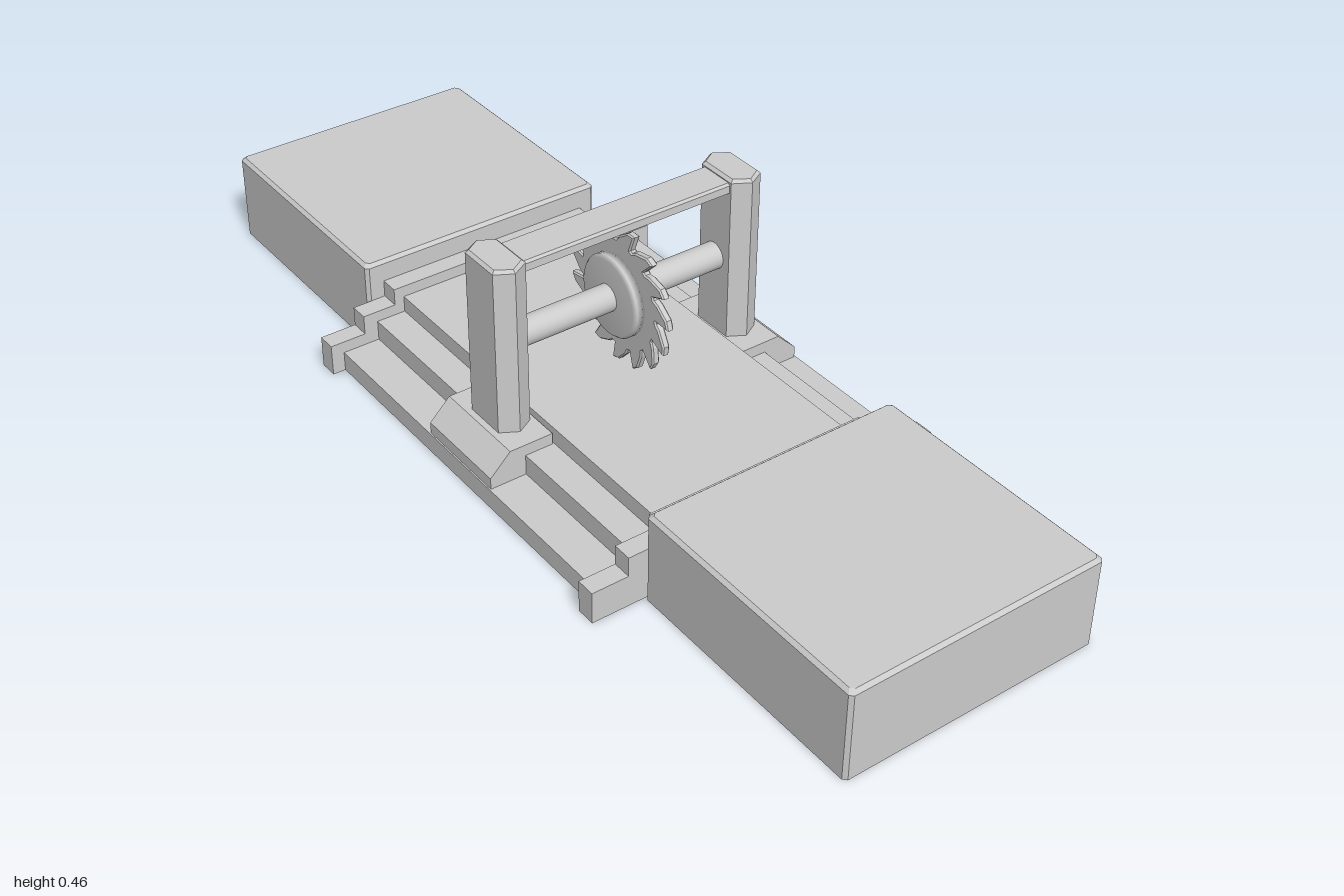
import * as THREE from 'three';

const mat = new THREE.MeshStandardMaterial({ color: 0xcccccc, flatShading: true, side: THREE.DoubleSide });
const smooth = new THREE.MeshStandardMaterial({ color: 0xcccccc });

function mesh(name, geo, parent, x = 0, y = 0, z = 0, material = mat) {
  const m = new THREE.Mesh(geo, material);
  m.name = name;
  m.position.set(x, y, z);
  parent.add(m);
  return m;
}

function fromTriangles(pos) {
  const g = new THREE.BufferGeometry();
  g.setAttribute('position', new THREE.Float32BufferAttribute(pos, 3));
  g.computeVertexNormals();
  return g;
}

// Upright prism with an open base and a bevelled, capped top; outline is [x, z] points
function hollowPrism(outline, halfX, halfZ, height, bevel) {
  const levels = [[0, 0], [height - bevel, 0], [height, bevel]];
  const rings = levels.map(([y, inset]) =>
    outline.map(([x, z]) => [x * (1 - inset / halfX), y, z * (1 - inset / halfZ)]));
  const pos = [], n = outline.length;
  for (let i = 0; i < n; i++) {
    const j = (i + 1) % n;
    for (let k = 0; k < 2; k++) {
      const a = rings[k][i], b = rings[k][j], c = rings[k + 1][j], d = rings[k + 1][i];
      pos.push(...a, ...c, ...b, ...a, ...d, ...c);
    }
    pos.push(0, height, 0, ...rings[2][j], ...rings[2][i]);
  }
  return fromTriangles(pos);
}

// Solid of constant [z, y] profile, running along x and centred on it
function barAlongX(profile, width) {
  const shape = new THREE.Shape(profile.map(([z, y]) => new THREE.Vector2(z, y)));
  return new THREE.ExtrudeGeometry(shape, { depth: width, bevelEnabled: false })
    .translate(0, 0, -width / 2).rotateY(-Math.PI / 2);
}

// Thin sheet following a [z, y] profile from +z to -z
function sheetAlongX(profile, halfWidth) {
  const pos = [], h = halfWidth;
  for (let i = 0; i < profile.length - 1; i++) {
    const [z0, y0] = profile[i], [z1, y1] = profile[i + 1];
    pos.push(-h, y0, z0, h, y0, z0, h, y1, z1, -h, y0, z0, h, y1, z1, -h, y1, z1);
  }
  return fromTriangles(pos);
}

const mirrorZ = half => [...half, ...half.map(([z, y]) => [-z, y]).reverse()];

// Circular blade with hooked teeth, lying in the xy plane
function bladeGeometry(teeth, tip, root) {
  const pts = [], step = Math.PI * 2 / teeth;
  const at = (r, a) => pts.push(new THREE.Vector2(r * Math.cos(a), r * Math.sin(a)));
  for (let i = 0; i < teeth; i++) {
    const a = i * step;
    at(root, a);
    at(tip, a - step * 0.02);
    at(tip - 0.005, a + step * 0.28);
    at(root + 0.01, a + step * 0.72);
    at(root, a + step * 0.88);
  }
  return new THREE.ExtrudeGeometry(new THREE.Shape(pts), {
    depth: 0.01, bevelEnabled: true, bevelThickness: 0.003, bevelSize: 0.003,
    bevelOffset: -0.003, bevelSegments: 1,
  }).translate(0, 0, -0.005);
}

export function createModel() {
  const group = new THREE.Group();

  // Stepped centre platform, open underneath
  const platform = mirrorZ([[0.36, 0], [0.36, 0.042], [0.28, 0.042], [0.28, 0.085], [0.217, 0.085], [0.217, 0.12]]);
  mesh('platform', sheetAlongX(platform, 0.43), group);

  // Stepped end rails and hollow end blocks
  const rail = mirrorZ([[0.387, 0], [0.387, 0.067], [0.31, 0.067], [0.31, 0.108], [0.238, 0.108], [0.238, 0.144]]);
  const w = 0.266, d = 0.275, c = 0.007;
  const block = [[w, -d + c], [w, d - c], [w - c, d], [c - w, d], [-w, d - c], [-w, c - d], [c - w, -d], [w - c, -d]];
  for (const s of [1, -1]) {
    mesh('endRail', barAlongX(rail, 0.04), group, s * 0.447);
    mesh('endBlock', hollowPrism(block, w, d, 0.19, 0.007), group, s * 0.734);
  }

  // Sloped feet carrying the six-sided posts
  const foot = [[0.357, 0], [0.357, 0.066], [0.313, 0.109], [0.22, 0.109], [0.22, 0]];
  const hexagon = [[0.065, 0], [0.045, 0.035], [-0.045, 0.035], [-0.065, 0], [-0.045, -0.035], [0.045, -0.035]];
  for (const s of [1, -1]) {
    mesh('postFoot', barAlongX(foot.map(([z, y]) => [z * s, y]), 0.208), group);
    mesh('post', hollowPrism(hexagon, 0.065, 0.035, 0.362, 0.006), group, 0, 0.1, s * 0.265);
  }

  // Bar between the post tops, with chamfered upper edges
  const bar = new THREE.Shape([[-0.04, 0.433], [0.04, 0.433], [0.04, 0.449], [0.036, 0.454], [-0.036, 0.454], [-0.04, 0.449]]
    .map(([x, y]) => new THREE.Vector2(x, y)));
  mesh('topBar', new THREE.ExtrudeGeometry(bar, { depth: 0.47, bevelEnabled: false }), group, 0, 0, -0.235);

  // Axle, hub and toothed blade
  const axleY = 0.275;
  mesh('axle', new THREE.CylinderGeometry(0.028, 0.028, 0.47, 32).rotateX(Math.PI / 2), group, 0, axleY, 0, smooth);
  const hub = [[0, -0.003], [0.085, -0.003], [0.085, 0.014], [0.079, 0.021], [0, 0.021]];
  mesh('hub', new THREE.LatheGeometry(hub.map(([r, y]) => new THREE.Vector2(r, y)), 32).rotateX(Math.PI / 2),
    group, 0, axleY, 0, smooth);
  mesh('blade', bladeGeometry(15, 0.155, 0.118), group, 0, axleY, -0.01);

  return group;
}
